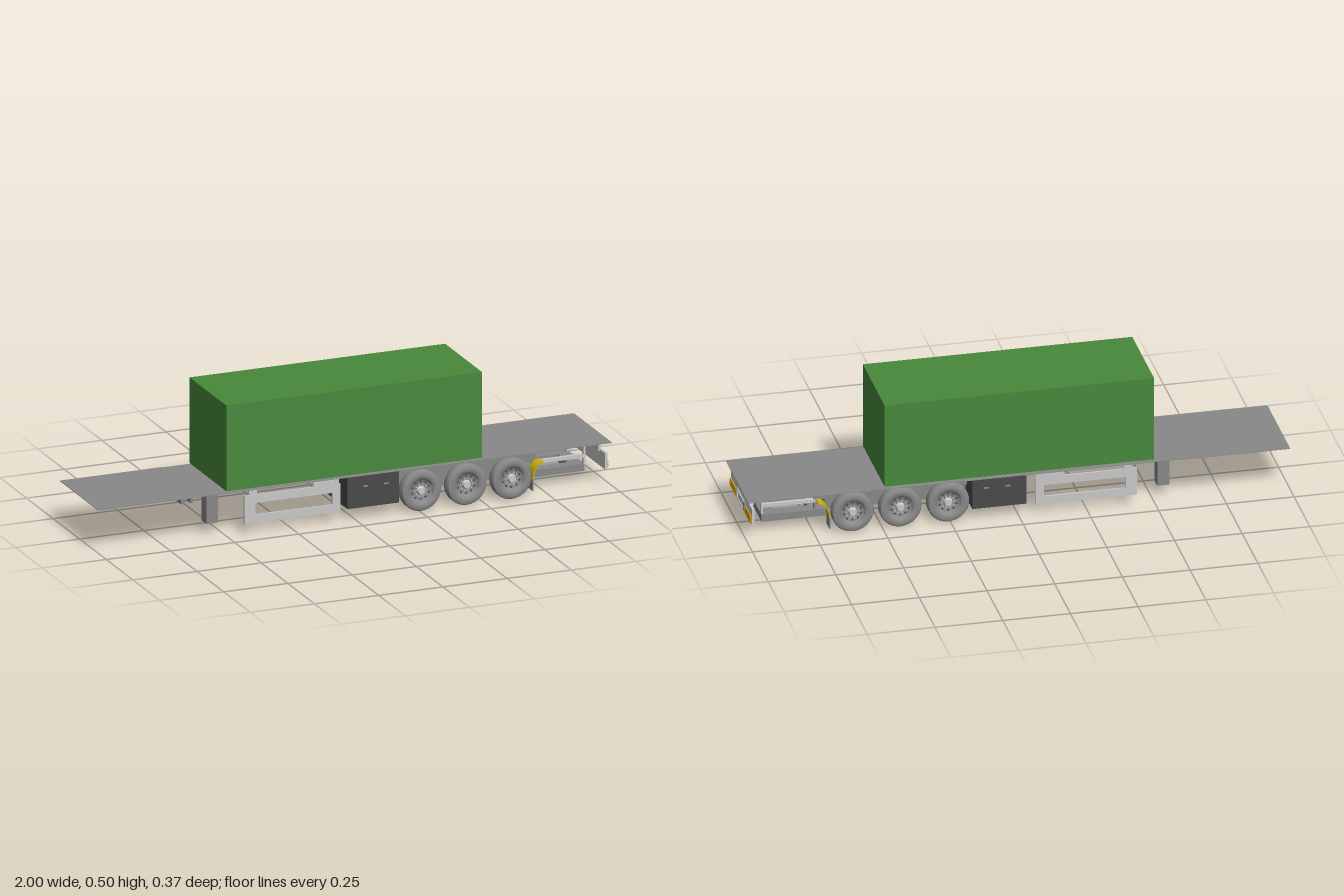
import * as THREE from 'three';
import { toCreasedNormals } from 'three/addons/utils/BufferGeometryUtils.js';

export function createModel() {
  const root = new THREE.Group();
  root.name = 'containerTrailer';
  const mat = (name, color) => {
    const m = new THREE.MeshStandardMaterial({ color, side: THREE.DoubleSide });
    m.name = name;
    return m;
  };
  const green = mat('containerGreen', 0x48893c);
  const grey = mat('chassisGrey', 0x888888);
  const light = mat('lightGrey', 0xc8c8c8);
  const dark = mat('darkGrey', 0x4a4a4a);
  const yellow = mat('reflectorYellow', 0xc8b010);
  const orange = mat('markerOrange', 0xdc7814);

  const add = (name, geo, m, parent = root) => {
    const mesh = new THREE.Mesh(geo, m);
    mesh.name = name;
    parent.add(mesh);
    return mesh;
  };
  // Box given by its minimum and maximum on each axis
  const box = (name, m, x0, x1, y0, y1, z0, z1, parent = root) => {
    const mesh = add(name, new THREE.BoxGeometry(x1 - x0, y1 - y0, z1 - z0), m, parent);
    mesh.position.set((x0 + x1) / 2, (y0 + y1) / 2, (z0 + z1) / 2);
    return mesh;
  };
  // Rectangular frame in the xy plane, extruded along z
  const frame = (x0, x1, y0, y1, a0, a1, b0, b1, depth) => {
    const rect = (C, l, r, b, t) => {
      const p = new C();
      p.moveTo(l, b); p.lineTo(r, b); p.lineTo(r, t); p.lineTo(l, t); p.closePath();
      return p;
    };
    const s = rect(THREE.Shape, x0, x1, y0, y1);
    s.holes.push(rect(THREE.Path, a0, a1, b0, b1));
    return new THREE.ExtrudeGeometry(s, { depth, bevelEnabled: false });
  };

  // Container and flat bed
  box('container', green, -0.5, 0.495, 0.17, 0.495, -0.175, 0.172);
  box('frontDeck', grey, -1, -0.6, 0.162, 0.164, -0.187, 0.176);
  box('rearDeck', grey, -0.6, 1, 0.162, 0.164, -0.183, 0.176);
  for (const z of [-0.08, 0.08]) box('deckRail', grey, -0.98, -0.03, 0.159, 0.162, z - 0.012, z + 0.012);

  // Landing legs: channel section with a web and two flanges
  for (const s of [-1, 1]) {
    const leg = new THREE.Group();
    leg.name = 'landingLeg';
    const z = s * 0.118;
    box('legWeb', grey, -0.565, -0.52, 0.045, 0.162, z + s * 0.014, z + s * 0.022, leg);
    for (const x of [-0.565, -0.528]) box('legFlange', grey, x, x + 0.008, 0.045, 0.162, z - 0.022, z + 0.022, leg);
    root.add(leg);
  }

  // Side guards with hangers
  for (const z of [0.175, -0.183]) {
    add('sideGuard', frame(-0.435, -0.06, 0.04, 0.146, -0.392, -0.092, 0.07, 0.115, 0.008), light).position.z = z;
    for (const x of [-0.415, -0.165]) {
      box('guardHanger', light, x, x + (x < -0.3 ? 0.03 : 0.1), 0.146, 0.162, z, z + 0.006);
    }
  }

  // Tool box across the chassis
  box('toolBox', dark, -0.03, 0.17, 0.043, 0.162, -0.172, 0.176);
  for (const x of [0.03, 0.11]) {
    for (const z of [-0.175, 0.176]) box('toolBoxHandle', grey, x, x + 0.018, 0.12, 0.126, z, z + 0.003);
  }

  // Chassis core above the axles
  box('chassisCore', grey, 0.17, 0.73, 0.1, 0.16, -0.085, 0.093);
  box('axleCradle', grey, 0.17, 0.69, 0.045, 0.1, -0.06, 0.068);

  // Open rear subframe lying flat under the bed
  const sub = add('rearSubframe', frame(0.69, 0.93, -0.093, 0.085, 0.75, 0.88, -0.05, 0.045, 0.027), grey);
  sub.rotation.x = -Math.PI / 2;
  sub.rotation.x = Math.PI / 2;
  sub.position.y = 0.065;
  for (const z of [-0.085, 0.078]) {
    box('rearBeam', light, 0.73, 0.93, 0.09, 0.103, z, z + 0.015);
    box('rearPost', light, 0.923, 0.93, 0.065, 0.162, z, z + 0.015);
    box('frontPost', grey, 0.725, 0.735, 0.065, 0.162, z, z + 0.015);
  }

  // Wheels: tyre, dished rim, hub, bolts and dark vent holes
  const lathe = (pts) => {
    const g = new THREE.LatheGeometry(pts.map((p) => new THREE.Vector2(p[0], p[1])), 32);
    g.rotateX(Math.PI / 2);
    return toCreasedNormals(g, 0.6);
  };
  const tyreGeo = lathe([[0.046, -0.02], [0.052, -0.024], [0.066, -0.024], [0.074, -0.02], [0.077, -0.014],
    [0.077, 0.014], [0.074, 0.02], [0.066, 0.024], [0.052, 0.024], [0.046, 0.02]]);
  const rimGeo = lathe([[0.0, 0.01], [0.034, 0.007], [0.043, 0.012], [0.047, 0.02], [0.046, -0.02], [0.02, -0.012], [0, -0.012]]);
  const hubGeo = new THREE.CylinderGeometry(0.013, 0.017, 0.012, 20).rotateX(Math.PI / 2);
  const boltGeo = new THREE.CylinderGeometry(0.0025, 0.0025, 0.006, 8).rotateX(Math.PI / 2);
  const ventGeo = new THREE.CylinderGeometry(0.004, 0.004, 0.004, 12).rotateX(Math.PI / 2);
  for (const x of [0.257, 0.434, 0.61]) {
    const axle = add('axle', new THREE.CylinderGeometry(0.014, 0.014, 0.28, 16).rotateX(Math.PI / 2), grey);
    axle.position.set(x, 0.077, 0.005);
    for (const s of [-1, 1]) {
      const wheel = new THREE.Group();
      wheel.name = 'wheel';
      wheel.position.set(x, 0.077, 0.005 + s * 0.156);
      if (s < 0) wheel.rotation.y = Math.PI;
      add('tyre', tyreGeo, grey, wheel);
      add('rim', rimGeo, grey, wheel);
      add('hub', hubGeo, light, wheel).position.z = 0.015;
      for (let i = 0; i < 10; i++) {
        const a = (i / 10) * Math.PI * 2;
        add('wheelBolt', boltGeo, light, wheel).position.set(Math.cos(a) * 0.023, Math.sin(a) * 0.023, 0.011);
        const b = a + Math.PI / 10;
        add('ventHole', ventGeo, dark, wheel).position.set(Math.cos(b) * 0.034, Math.sin(b) * 0.034, 0.0065);
      }
      root.add(wheel);
    }
  }

  // Curved yellow mudguards with hanging flaps
  const guard = new THREE.Shape();
  guard.moveTo(0.692, 0.06);
  guard.quadraticCurveTo(0.694, 0.12, 0.737, 0.124);
  guard.lineTo(0.737, 0.12);
  guard.quadraticCurveTo(0.699, 0.115, 0.697, 0.06);
  guard.closePath();
  const guardGeo = toCreasedNormals(new THREE.ExtrudeGeometry(guard, { depth: 0.046, bevelEnabled: false, curveSegments: 10 }), 0.6);
  for (const z of [0.125, -0.166]) {
    add('mudguard', guardGeo, yellow).position.z = z;
    box('mudFlap', grey, 0.692, 0.696, 0.018, 0.065, z, z + 0.046);
  }

  // Rear bumper with brackets
  box('bumper', light, 0.972, 0.982, 0.065, 0.127, -0.165, 0.174);
  for (const z of [-0.12, 0.093]) box('bumperBracket', light, 0.965, 0.973, 0.122, 0.162, z, z + 0.037);

  // Plate holder: outer panel, side clamps and inner recess panel
  box('plateHolder', light, 0.982, 0.984, 0.066, 0.108, -0.059, 0.072);
  const plateFrame = add('plateFrame', frame(-0.05, 0.06, 0.07, 0.104, -0.043, 0.053, 0.074, 0.1, 0.003), light);
  plateFrame.rotation.y = -Math.PI / 2;
  plateFrame.position.x = 0.987;
  for (const z of [-0.056, 0.06]) box('plateClamp', grey, 0.984, 0.986, 0.07, 0.104, z, z + 0.007);

  // Rear reflectors edged with orange markers
  for (const z of [-0.157, 0.077]) {
    box('rearReflector', yellow, 0.982, 0.986, 0.068, 0.097, z, z + 0.088);
    for (const y of [0.068, 0.095]) box('markerStrip', orange, 0.985, 0.987, y, y + 0.002, z, z + 0.088);
    for (let i = 0; i < 4; i++) {
      const y = 0.072 + i * 0.0065;
      for (const e of [z - 0.002, z + 0.086]) box('markerLamp', orange, 0.984, 0.988, y, y + 0.003, e, e + 0.005);
    }
  }
  return root;
}
